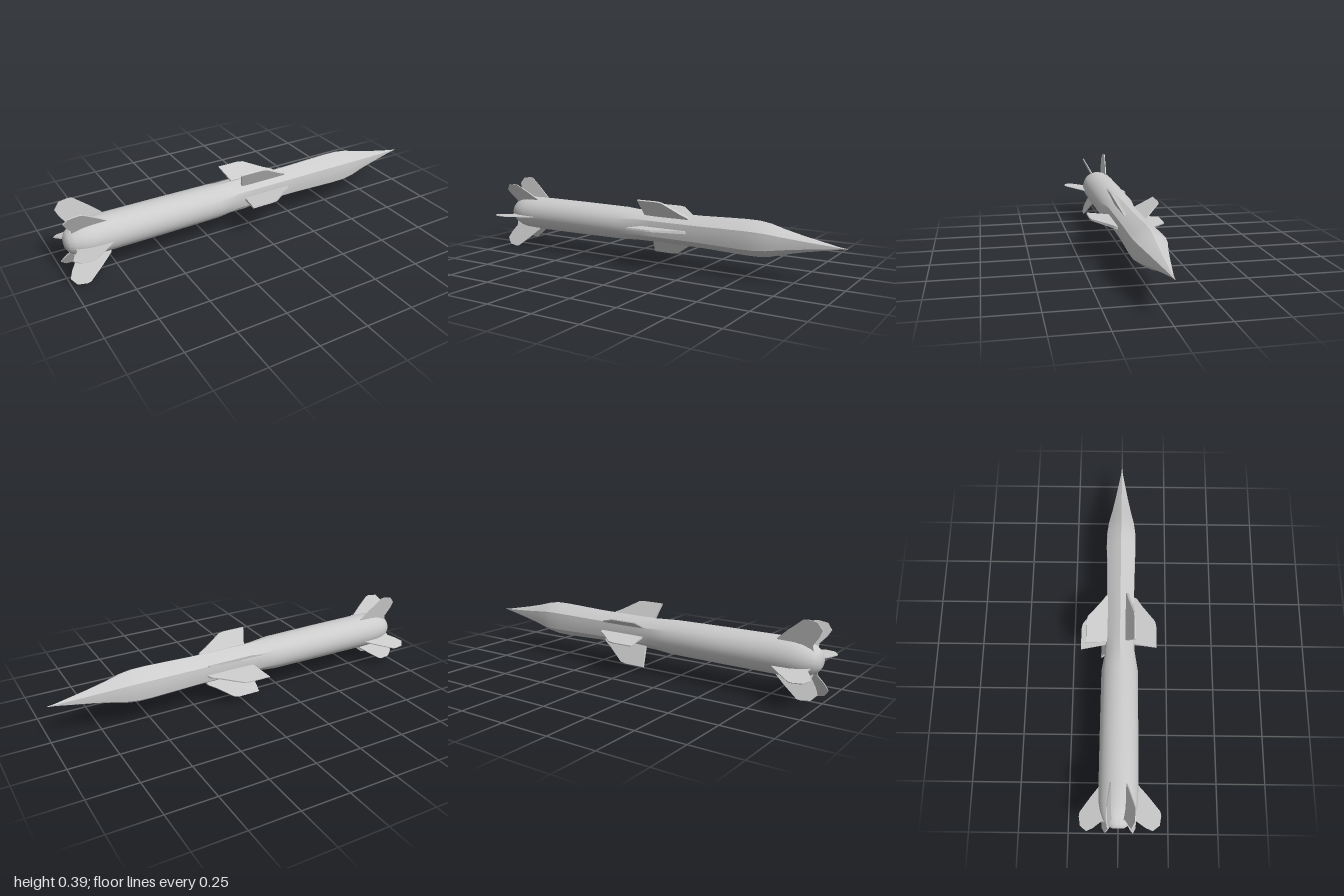
import * as THREE from 'three';
import { toCreasedNormals } from 'three/addons/utils/BufferGeometryUtils.js';

const AXIS_Y = 0.196;
const material = new THREE.MeshStandardMaterial({ color: 0xcccccc });

// Hull loft along x; each section blends from a round (0) to a hexagon (1)
// [x, half height, half width, hexagon blend]
const SECTIONS = [
  [-0.99, 0.001, 0.001, 0], [-0.988, 0.03, 0.031, 0], [-0.975, 0.05, 0.053, 0],
  [-0.95, 0.068, 0.072, 0], [-0.91, 0.083, 0.087, 0], [-0.87, 0.089, 0.095, 0],
  [-0.8, 0.091, 0.097, 0], [-0.5, 0.09, 0.096, 0], [-0.21, 0.087, 0.094, 0],
  [-0.1, 0.083, 0.081, 0.5], [0, 0.082, 0.08, 0.75], [0.25, 0.083, 0.081, 0.75],
  [0.4, 0.088, 0.085, 0.75], [0.5, 0.091, 0.088, 0.75], [0.57, 0.09, 0.087, 0.75],
  [0.63, 0.081, 0.078, 0.75], [0.7, 0.061, 0.06, 0.8], [0.8, 0.038, 0.038, 0.9],
  [0.9, 0.018, 0.018, 0.9], [0.96, 0.006, 0.006, 0.9], [1, 0.001, 0.001, 0.9],
];

function hullGeometry(sides = 48) {
  const pos = [], index = [];
  for (const [x, ry, rz, hex] of SECTIONS) {
    for (let i = 0; i < sides; i++) {
      const a = (i / sides) * Math.PI * 2; // from the top, towards +z
      const local = (a % (Math.PI / 3)) - Math.PI / 6;
      const k = 1 - hex + hex * Math.cos(Math.PI / 6) / Math.cos(local);
      pos.push(x, AXIS_Y + ry * k * Math.cos(a), rz * k * Math.sin(a));
    }
  }
  for (let s = 0; s < SECTIONS.length - 1; s++) {
    for (let i = 0; i < sides; i++) {
      const a = s * sides + i, b = s * sides + (i + 1) % sides;
      index.push(a, b, a + sides, b, b + sides, a + sides);
    }
  }
  // Tail cap and nose tip
  const last = (SECTIONS.length - 1) * sides;
  for (let i = 1; i < sides - 1; i++) {
    index.push(0, i + 1, i, last, last + i, last + i + 1);
  }
  const geo = new THREE.BufferGeometry();
  geo.setAttribute('position', new THREE.Float32BufferAttribute(pos, 3));
  geo.setIndex(index);
  return toCreasedNormals(geo, 0.55);
}

// Fin outlines: x along the hull, s from root (0) to tip (1)
const TAIL_OUTLINE = [
  [-0.96, -0.4], [-0.78, -0.4], [-0.785, 0], [-0.84, 0.45], [-0.91, 0.97],
  [-0.93, 1], [-0.975, 0.93], [-1, 0.62], [-0.985, 0.3], [-0.955, -0.1],
];
const MID_OUTLINE = [
  [-0.06, -0.35], [0.21, -0.35], [0.19, 0], [0.15, 0.25], [0.06, 0.94], [0.03, 1], [-0.085, 1],
];

// Blade from a root point to a tip point, both [z, y], thinner at the tip
function fin(name, outline, root, tip, thickness) {
  const shape = new THREE.Shape(outline.map(([x, s]) => new THREE.Vector2(x, s)));
  const geo = new THREE.ExtrudeGeometry(shape, { depth: 1, bevelEnabled: false });
  const dz = tip[0] - root[0], dy = tip[1] - root[1], len = Math.hypot(dz, dy);
  const p = geo.attributes.position;
  for (let i = 0; i < p.count; i++) {
    const s = p.getY(i);
    const t = (p.getZ(i) - 0.5) * thickness * (1.3 - 0.5 * s);
    p.setXYZ(i, p.getX(i), root[1] + dy * s - (dz / len) * t, root[0] + dz * s + (dy / len) * t);
  }
  geo.computeVertexNormals();
  const mesh = new THREE.Mesh(geo, material);
  mesh.name = name;
  return mesh;
}

// [root z, root y, tip z, tip y, thickness]
const TAIL_FINS = [
  [0.098, 0.186, 0.207, 0.195, 0.004], [0.039, 0.275, 0.082, 0.363, 0.005],
  [-0.038, 0.284, -0.052, 0.391, 0.005], [-0.091, 0.163, -0.191, 0.136, 0.005],
  [-0.036, 0.111, -0.084, 0.027, 0.005], [0.046, 0.105, 0.089, 0.002, 0.004],
];
const MID_FINS = [
  [0.039, 0.27, 0.076, 0.341, 0.011], [0.088, 0.2, 0.189, 0.211, 0.011],
  [-0.05, 0.123, -0.098, 0.038, 0.011], [-0.095, 0.184, -0.204, 0.172, 0.006],
  [-0.077, 0.241, -0.173, 0.284, 0.006],
];

export function createModel() {
  const model = new THREE.Group();
  model.name = 'missile';

  const hull = new THREE.Mesh(hullGeometry(), material);
  hull.name = 'hull';
  model.add(hull);

  const addFins = (groupName, finName, outline, list) => {
    const group = new THREE.Group();
    group.name = groupName;
    for (const [rz, ry, tz, ty, t] of list) group.add(fin(finName, outline, [rz, ry], [tz, ty], t));
    model.add(group);
  };
  addFins('tailFins', 'tailFin', TAIL_OUTLINE, TAIL_FINS);
  addFins('midFins', 'midFin', MID_OUTLINE, MID_FINS);
  return model;
}
